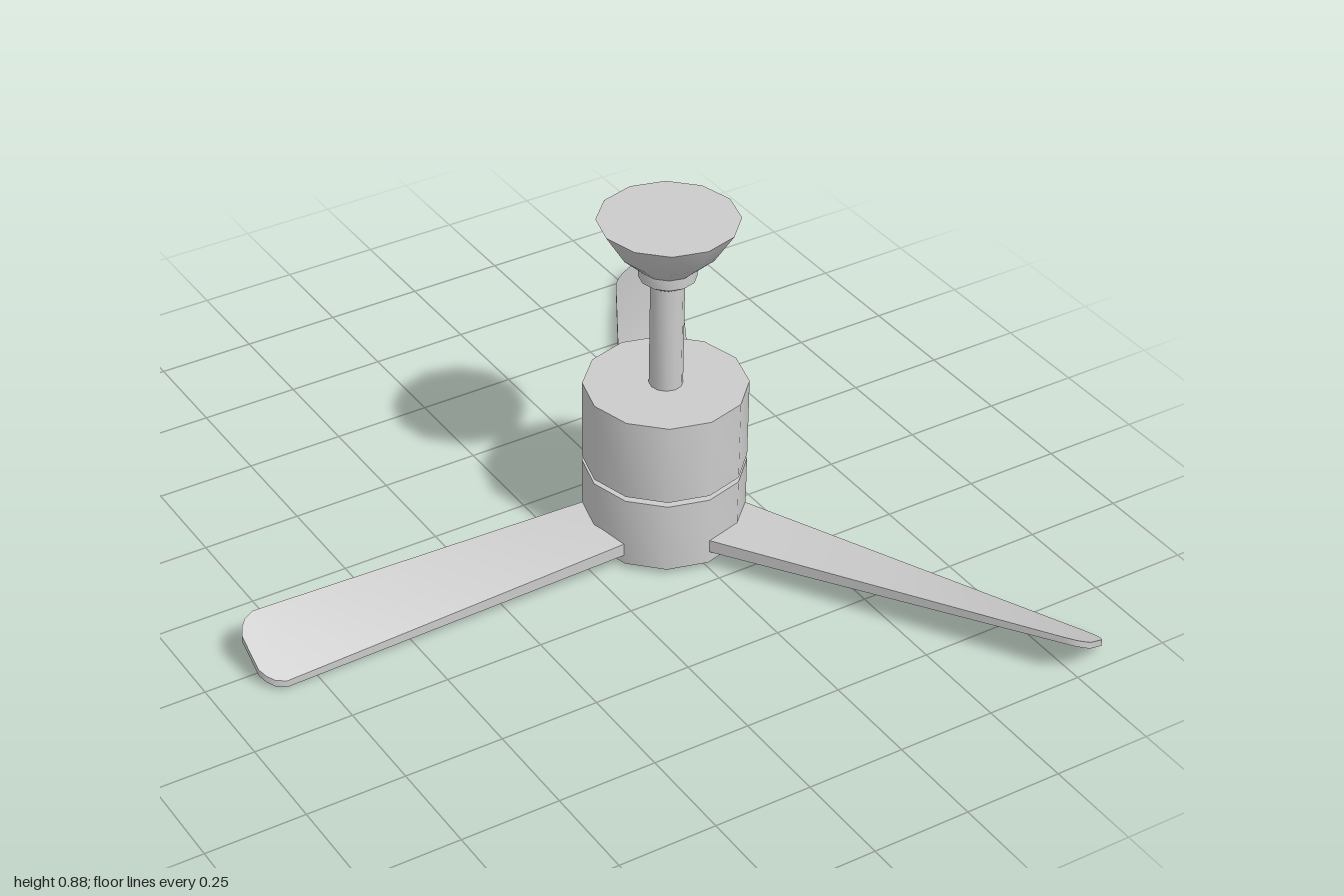
import * as THREE from 'three';
import { toCreasedNormals } from 'three/addons/utils/BufferGeometryUtils.js';

const material = new THREE.MeshStandardMaterial({ color: 0xcccccc });
const SIDES = 12;

// Closed turned part; profile runs bottom to top as [radius, height]
function turned(name, profile) {
  const points = profile.map(([r, y]) => new THREE.Vector2(r, y));
  const geometry = new THREE.LatheGeometry(points, SIDES);
  const mesh = new THREE.Mesh(toCreasedNormals(geometry, 0.75), material);
  mesh.name = name;
  return mesh;
}

function drum(name, radius, bottom, top) {
  return turned(name, [[0, bottom], [radius, bottom], [radius, top], [0, top]]);
}

// Blade along +x: flat at the root, pitched and thinner towards a rounded tip
function bladeGeometry() {
  const root = 0.1, tip = 1.13;
  // [distance from the axis, share of the full width]
  const stations = [[root, 1], [0.35, 1], [0.6, 1], [0.85, 1], [1.08, 1],
    [1.105, 0.88], [1.12, 0.7], [tip, 0.48]];
  const positions = [], index = [];
  stations.forEach(([x, share]) => {
    const t = Math.min(1, (x - root) / (1.08 - root));
    const halfZ = THREE.MathUtils.lerp(0.097, 0.082, t) * share;
    const rise = 0.048 * t * share;
    const half = THREE.MathUtils.lerp(0.0175, 0.009, t);
    positions.push(
      x, -rise - half, -halfZ,
      x, rise - half, halfZ,
      x, rise + half, halfZ,
      x, -rise + half, -halfZ);
  });
  // Skin between neighbouring sections
  for (let s = 0; s < stations.length - 1; s++) {
    for (let k = 0; k < 4; k++) {
      const a = s * 4 + k, b = s * 4 + (k + 1) % 4;
      index.push(a, a + 4, b, b, a + 4, b + 4);
    }
  }
  // End caps
  const e = (stations.length - 1) * 4;
  index.push(0, 1, 2, 0, 2, 3, e, e + 2, e + 1, e, e + 3, e + 2);
  const geometry = new THREE.BufferGeometry();
  geometry.setAttribute('position', new THREE.Float32BufferAttribute(positions, 3));
  geometry.setIndex(index);
  return toCreasedNormals(geometry, 0.6);
}

export function createModel() {
  const fan = new THREE.Group();
  fan.name = 'ceilingFan';

  // Everything is built around the axis, then shifted to centre the blade span
  const body = new THREE.Group();
  body.name = 'fanBody';
  body.position.x = 0.25;
  fan.add(body);

  // Motor housing in two drums with an open gap between them
  body.add(drum('bladeHub', 0.2, 0.02, 0.205));
  body.add(drum('motorHousing', 0.2, 0.218, 0.43));

  // Hanging rod and ceiling canopy
  body.add(drum('downRod', 0.041, 0.425, 0.73));
  body.add(turned('ceilingCanopy', [
    [0, 0.71], [0.041, 0.71], [0.07, 0.73], [0.07, 0.758],
    [0.12, 0.805], [0.17, 0.885], [0, 0.885],
  ]));

  // Three blades, evenly spaced
  const geometry = bladeGeometry();
  for (let i = 0; i < 3; i++) {
    const blade = new THREE.Mesh(geometry, material);
    blade.name = `blade${i + 1}`;
    blade.position.y = 0.0625;
    blade.rotation.y = Math.PI + i * Math.PI * 2 / 3;
    body.add(blade);
  }
  return fan;
}
